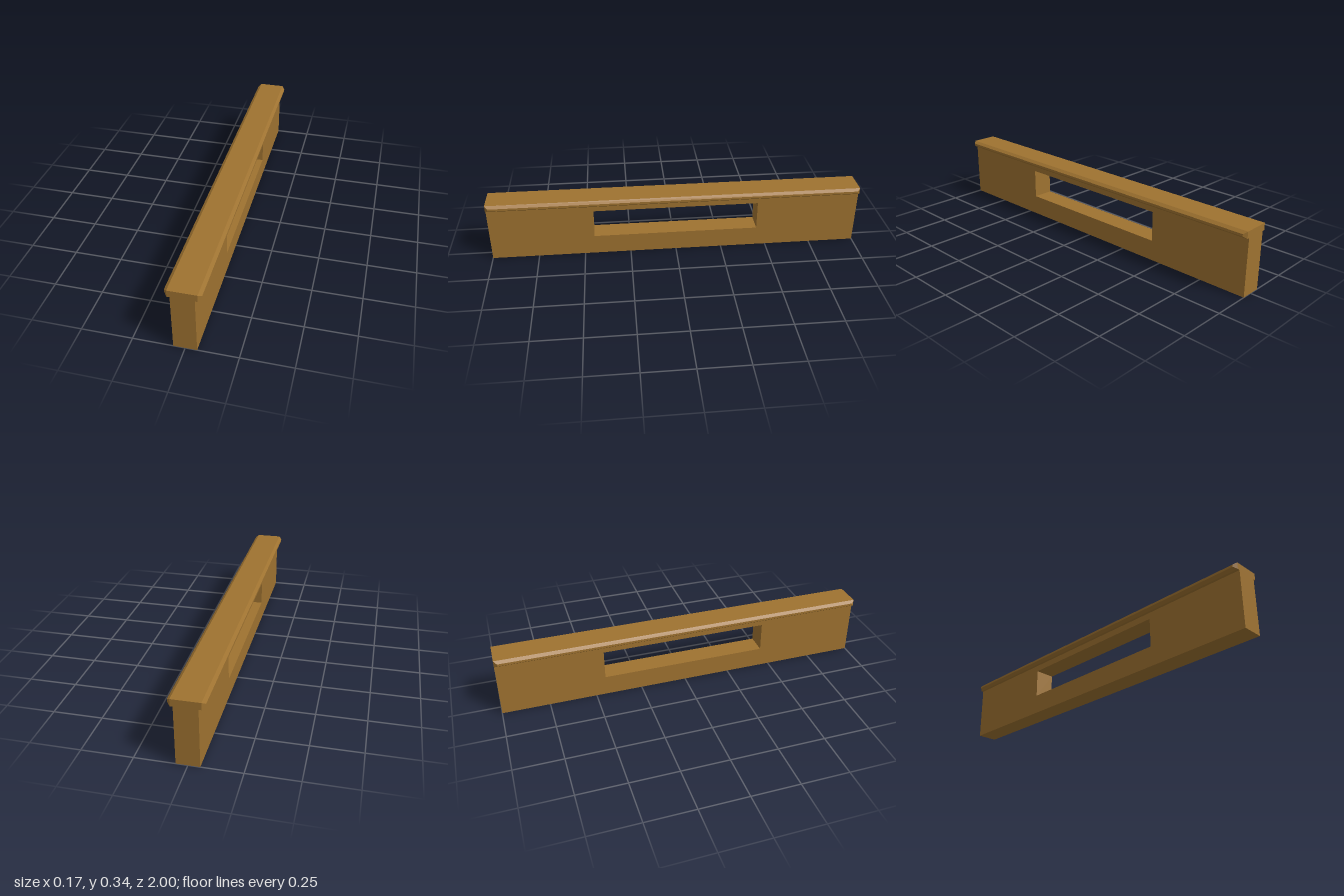
import * as THREE from 'three';

const wood = new THREE.MeshStandardMaterial({ color: 0x9e7230, flatShading: true });

// Upright slab with a rectangular opening through its thickness
function createWall() {
  const halfLength = 1, height = 0.3, thickness = 0.112;
  const shape = new THREE.Shape([
    new THREE.Vector2(-halfLength, 0), new THREE.Vector2(halfLength, 0),
    new THREE.Vector2(halfLength, height), new THREE.Vector2(-halfLength, height),
  ]);
  const [w, y0, y1] = [0.446, 0.108, 0.265];
  shape.holes.push(new THREE.Path([
    new THREE.Vector2(-w, y0), new THREE.Vector2(-w, y1),
    new THREE.Vector2(w, y1), new THREE.Vector2(w, y0),
  ]));
  const geometry = new THREE.ExtrudeGeometry(shape, { depth: thickness, bevelEnabled: false });
  geometry.translate(0, 0, -thickness / 2).rotateY(-Math.PI / 2);
  const mesh = new THREE.Mesh(geometry, wood);
  mesh.name = 'wall';
  return mesh;
}

// Coping whose long sides taper outward to a narrow edge
function createCap() {
  const outer = 0.085, inner = 0.069, height = 0.036, length = 2;
  const box = new THREE.BoxGeometry(outer * 2, height, length, 3, 1, 1);
  const p = box.attributes.position;
  for (let i = 0; i < p.count; i++) {
    const x = p.getX(i);
    if (Math.abs(x) < outer * 0.9) {
      p.setX(i, Math.sign(x) * inner);
    } else {
      p.setY(i, Math.sign(p.getY(i)) * 0.006);
      p.setZ(i, Math.sign(p.getZ(i)) * 0.984);
    }
  }
  const geometry = box.toNonIndexed();
  geometry.computeVertexNormals();
  const mesh = new THREE.Mesh(geometry, wood);
  mesh.name = 'cap';
  mesh.position.y = 0.3 + height / 2;
  return mesh;
}

export function createModel() {
  const model = new THREE.Group();
  model.name = 'wallWithOpening';
  model.add(createWall(), createCap());
  return model;
}
